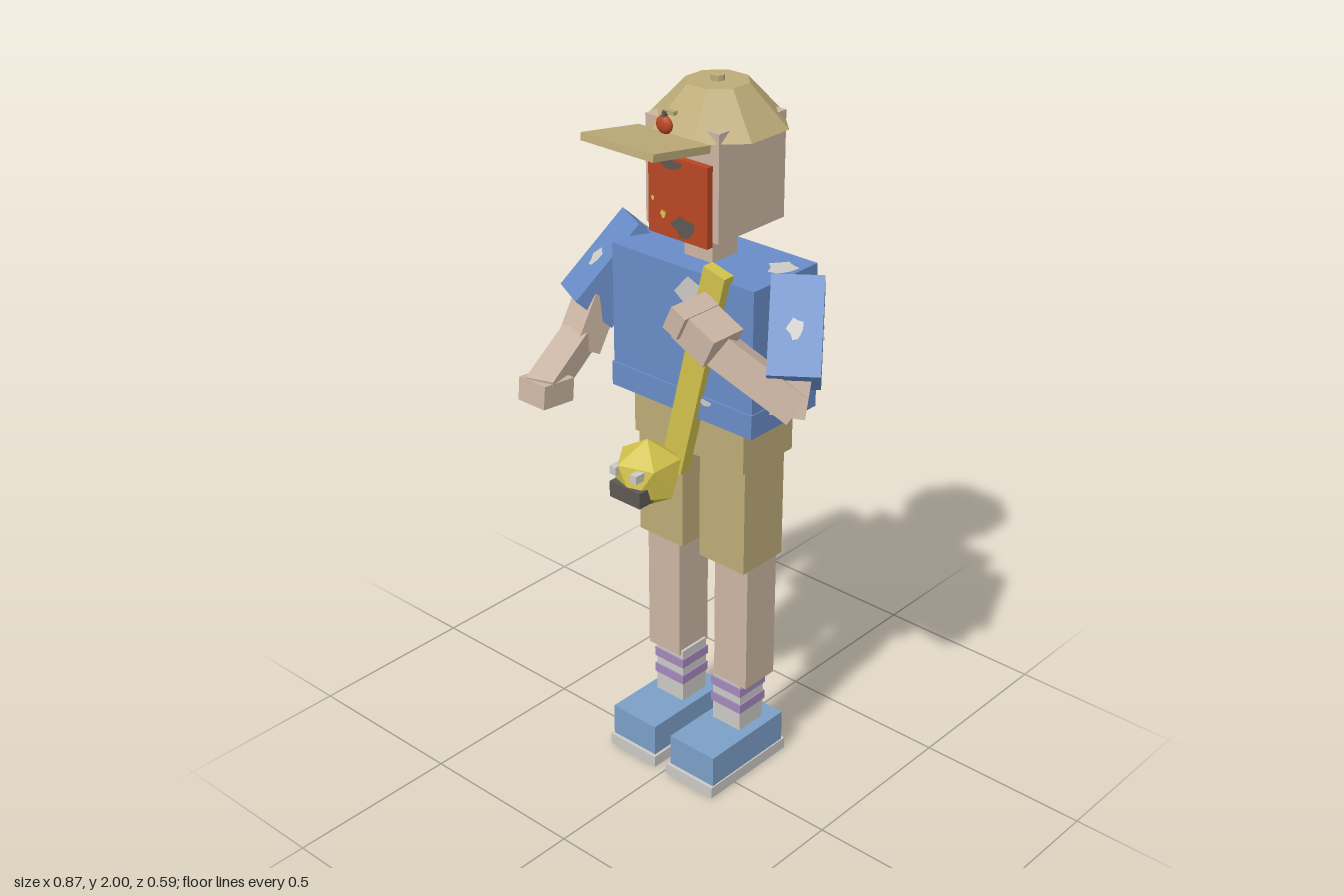
import * as THREE from 'three';

const V = (x, y, z) => new THREE.Vector3(x, y, z);

function makeMaterial(name, color) {
  const m = new THREE.MeshStandardMaterial({ color });
  m.name = name;
  return m;
}

export function createModel() {
  const skin = makeMaterial('skin', 0xcbb5a3);
  const shirt = makeMaterial('shirt blue', 0x688bc6);
  const khaki = makeMaterial('khaki', 0xbdab78);
  const yellow = makeMaterial('bag yellow', 0xd2c14c);
  const orange = makeMaterial('mask orange', 0xb84623);
  const shoeBlue = makeMaterial('shoe blue', 0x7b9fc6);
  const pale = makeMaterial('pale grey', 0xcbc9c4);
  const purple = makeMaterial('stripe purple', 0xa488bb);
  const dark = makeMaterial('dark grey', 0x5e5853);

  const model = new THREE.Group();
  model.name = 'hiker';

  const add = (name, geo, mat, parent = model) => {
    const mesh = new THREE.Mesh(geo, mat);
    mesh.name = name;
    parent.add(mesh);
    return mesh;
  };

  // Box given by its extents
  const block = (name, mat, x0, x1, y0, y1, z0, z1) => {
    const m = add(name, new THREE.BoxGeometry(x1 - x0, y1 - y0, z1 - z0), mat);
    m.position.set((x0 + x1) / 2, (y0 + y1) / 2, (z0 + z1) / 2);
    return m;
  };

  // Box running between two points, its local x along the width direction
  const limb = (name, mat, from, to, w, d, widthDir) => {
    const m = add(name, new THREE.BoxGeometry(w, from.distanceTo(to), d), mat);
    const y = from.clone().sub(to).normalize();
    const x = widthDir.clone().addScaledVector(y, -widthDir.dot(y)).normalize();
    const z = x.clone().cross(y);
    m.quaternion.setFromRotationMatrix(new THREE.Matrix4().makeBasis(x, y, z));
    m.position.copy(from).add(to).multiplyScalar(0.5);
    return m;
  };

  // Ragged flat spot lying on a face
  const outline = [0.8, 1.05, 0.75, 1.0, 0.85, 1.1, 0.7, 1.0, 0.9, 0.75];
  const patch = (name, mat, pos, normal, w, h, parent = model) => {
    const pts = outline.map((r, i) => {
      const a = (i / outline.length) * Math.PI * 2;
      return new THREE.Vector2(Math.cos(a) * r * w / 2, Math.sin(a) * r * h / 2);
    });
    const m = add(name, new THREE.ShapeGeometry(new THREE.Shape(pts)), mat, parent);
    m.quaternion.setFromUnitVectors(V(0, 0, 1), normal);
    m.position.copy(pos).addScaledVector(normal, 0.003);
    return m;
  };

  // Legs, socks and shoes
  const cx = -0.01;
  for (const s of [-1, 1]) {
    const part = (name, mat, mid, w, ...rest) =>
      block(name, mat, cx + s * mid - w / 2, cx + s * mid + w / 2, ...rest);
    part('sole', pale, 0.108, 0.172, 0, 0.035, -0.22, 0.10);
    part('shoe', shoeBlue, 0.11, 0.16, 0.035, 0.13, -0.21, 0.09);
    part('sock', pale, 0.108, 0.1, 0.13, 0.3, -0.16, -0.06);
    for (const y of [0.19, 0.245])
      part('sockStripe', purple, 0.108, 0.108, y, y + 0.028, -0.164, -0.056);
    part('leg', skin, 0.124, 0.117, 0.285, 0.69, -0.175, -0.055);
    part('shortsLeg', khaki, 0.11, 0.158, 0.675, 0.99, -0.19, -0.03);
  }
  block('shortsHip', khaki, -0.2, 0.185, 0.99, 1.13, -0.215, -0.015);

  // Torso with hem
  block('torso', shirt, -0.25, 0.232, 1.19, 1.53, -0.24, 0.01);
  block('shirtHem', shirt, -0.253, 0.235, 1.122, 1.19, -0.247, 0.015);
  const front = V(0, 0, 1), back = V(0, 0, -1), up = V(0, 1, 0);
  const left = V(1, 0, 0), right = V(-1, 0, 0);
  patch('shirtSpot', pale, V(0.035, 1.46, 0.01), front, 0.12, 0.11);
  patch('shirtSpot', pale, V(0.08, 1.178, 0.015), front, 0.05, 0.02);
  patch('shirtSpot', pale, V(0.07, 1.34, -0.24), back, 0.12, 0.13);
  patch('shirtSpot', pale, V(0.07, 1.15, -0.247), back, 0.06, 0.025);
  patch('shirtSpot', pale, V(-0.2, 1.53, -0.16), up, 0.08, 0.09);
  patch('shirtSpot', pale, V(0.19, 1.53, -0.15), up, 0.08, 0.09);
  patch('shirtSpot', pale, V(0.232, 1.24, -0.17), left, 0.05, 0.04);
  patch('shirtSpot', pale, V(-0.25, 1.26, -0.12), right, 0.06, 0.05);

  // Sleeves
  const sleeveL = limb('leftSleeve', shirt, V(0.254, 1.517, -0.137), V(0.353, 1.317, -0.005),
    0.134, 0.135, V(0.8, 0, -0.6));
  const sleeveR = limb('rightSleeve', shirt, V(-0.27, 1.514, -0.15), V(-0.352, 1.32, 0.01),
    0.13, 0.135, V(0.89, 0, 0.455));
  [[sleeveL, 1], [sleeveR, -1]].forEach(([sleeve, s]) => {
    patch('sleeveSpot', pale, V(0, -0.01, 0.0675), front, 0.045, 0.06, sleeve);
    patch('sleeveSpot', pale, V(s * 0.067, 0, 0), V(s, 0, 0), 0.045, 0.06, sleeve);
    patch('sleeveSpot', pale, V(s * 0.03, 0.13, 0.01), up, 0.04, 0.04, sleeve);
  });

  // Right arm reaching forward
  limb('rightElbow', skin, V(-0.325, 1.36, -0.01), V(-0.335, 1.225, 0.06), 0.09, 0.085, V(0.96, 0, 0.2));
  limb('rightForearm', skin, V(-0.335, 1.25, 0.06), V(-0.268, 1.19, 0.265), 0.08, 0.07, V(0.956, 0, -0.29));
  const handR = block('rightHand', skin, -0.325, -0.23, 1.15, 1.215, 0.185, 0.292);
  handR.rotation.x = -0.1;

  // Left arm folded across the chest to the strap
  limb('leftElbow', skin, V(0.335, 1.34, -0.03), V(0.34, 1.23, 0.0), 0.09, 0.09, V(0.8, 0, -0.6));
  limb('leftForearm', skin, V(0.36, 1.25, -0.01), V(0.16, 1.42, 0.11), 0.09, 0.085, V(0.5, 0.3, 0.8));
  const handL = block('leftHand', skin, 0.12, 0.235, 1.38, 1.465, 0.055, 0.165);
  handL.rotation.z = -0.45;
  handL.position.set(0.168, 1.435, 0.11);
  const thumb = block('leftThumb', skin, 0.095, 0.145, 1.435, 1.505, 0.055, 0.18);
  thumb.rotation.z = -0.45;

  // Neck, head and mask
  block('neck', skin, -0.06, 0.035, 1.52, 1.64, -0.155, -0.06);
  block('head', skin, -0.133, 0.11, 1.62, 1.905, -0.25, 0.004);
  block('mask', orange, -0.107, 0.09, 1.607, 1.82, 0.004, 0.023);
  patch('maskSpot', dark, V(0.015, 1.645, 0.023), front, 0.085, 0.06);
  patch('maskSpot', dark, V(-0.03, 1.802, 0.023), front, 0.09, 0.03);
  patch('maskFleck', yellow, V(-0.055, 1.665, 0.023), front, 0.02, 0.025);
  patch('maskFleck', yellow, V(-0.09, 1.70, 0.023), front, 0.012, 0.015);

  // Eight-sided cap with button and tilted brim
  const cap = add('capCrown', new THREE.CylinderGeometry(0.084, 0.186, 0.108, 8).toNonIndexed(), khaki);
  cap.geometry.rotateY(Math.PI / 8);
  cap.geometry.computeVertexNormals();
  cap.position.set(-0.009, 1.932, -0.126);
  const button = add('capButton', new THREE.CylinderGeometry(0.018, 0.018, 0.015, 8).toNonIndexed(), khaki);
  button.geometry.computeVertexNormals();
  button.position.set(-0.009, 1.9925, -0.126);
  limb('capBrim', khaki, V(-0.008, 1.876, 0.036), V(-0.008, 1.907, 0.238), 0.237, 0.02, V(1, 0, 0));

  // Small berry ornament on the brim
  const berry = add('berry', new THREE.IcosahedronGeometry(1, 1), orange);
  berry.scale.set(0.026, 0.024, 0.013);
  berry.position.set(-0.008, 1.92, 0.07);
  const stem = block('berryStem', dark, -0.012, -0.002, 1.935, 1.955, 0.064, 0.076);
  stem.rotation.z = -0.2;
  block('berryLeaf', khaki, -0.01, 0.022, 1.948, 1.958, 0.056, 0.07);

  // Shoulder strap and faceted bag
  limb('bagStrap', yellow, V(0.125, 1.56, 0.02), V(-0.03, 0.95, 0.012), 0.072, 0.035, V(1, 0, 0));
  const bag = add('bag', new THREE.IcosahedronGeometry(0.1, 0), yellow);
  bag.rotation.z = Math.atan(2 / (1 + Math.sqrt(5)));
  bag.position.set(-0.055, 0.955, 0.093);
  block('bagClasp', dark, -0.108, 0.0, 0.9, 0.946, 0.13, 0.183);
  for (const x of [-0.092, -0.018])
    block('bagStud', pale, x - 0.011, x + 0.011, 0.973, 0.996, 0.14, 0.188);

  return model;
}
